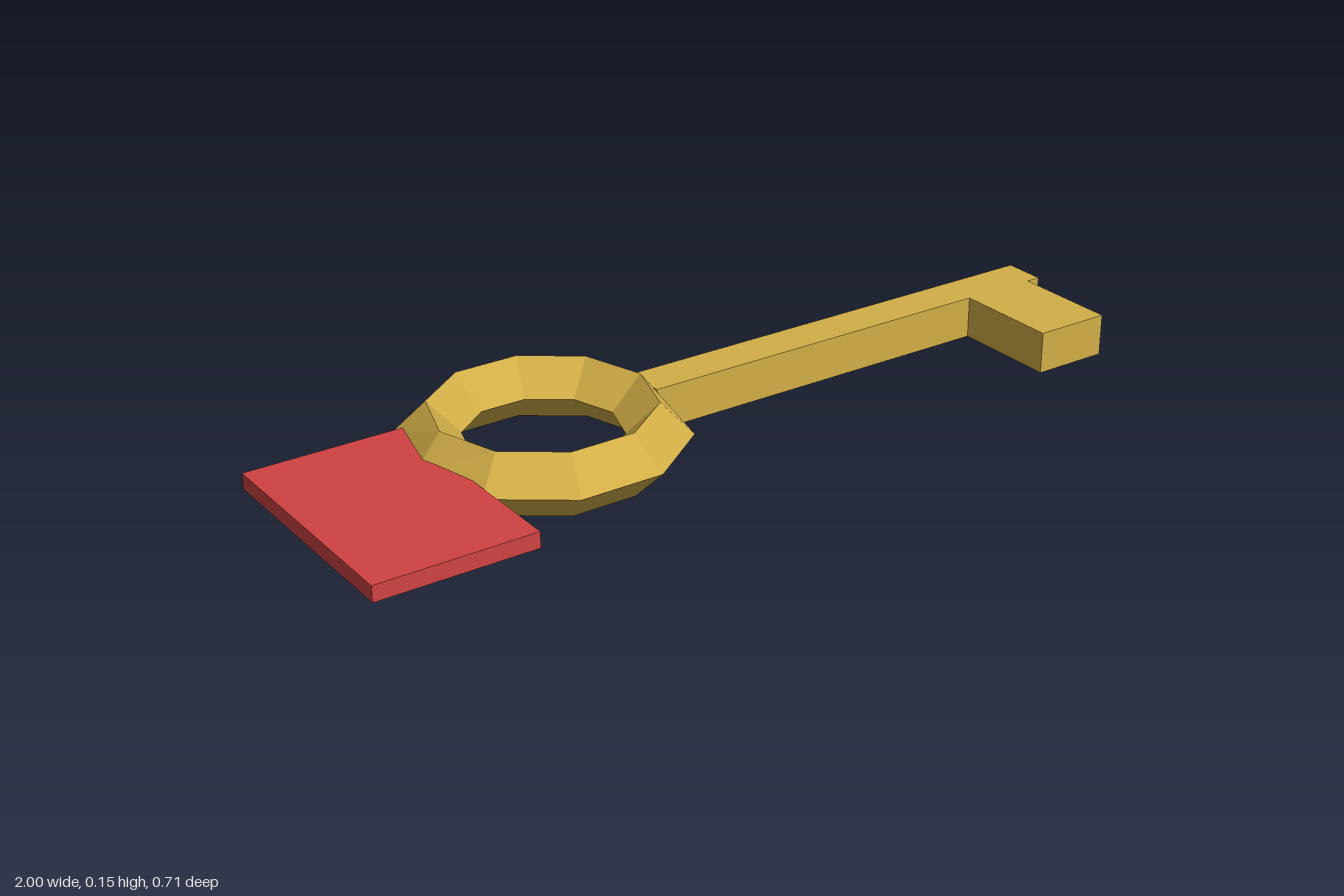
import * as THREE from 'three';

export function createModel() {
  const model = new THREE.Group();
  const gold = new THREE.MeshStandardMaterial({ color: 0xd2ae47, flatShading: true });
  const red = new THREE.MeshStandardMaterial({ color: 0xcf4242, flatShading: true });

  const add = (name, geometry, material) => {
    const mesh = new THREE.Mesh(geometry, material);
    mesh.name = name;
    model.add(mesh);
    return mesh;
  };
  // Box given by its extents along each axis
  const addBox = (name, [x0, x1], [y0, y1], [z0, z1], material) =>
    add(name, new THREE.BoxGeometry(x1 - x0, y1 - y0, z1 - z0), material)
      .position.set((x0 + x1) / 2, (y0 + y1) / 2, (z0 + z1) / 2);

  // Ten-sided bow with a diamond section, its outer tips slightly blunted along x
  const bow = new THREE.TorusGeometry(0.25, 0.074, 4, 10);
  const p = bow.attributes.position;
  for (let i = 0; i < p.count; i++) p.setX(i, THREE.MathUtils.clamp(p.getX(i), -0.308, 0.308));
  bow.rotateX(Math.PI / 2);
  add('bow', bow, gold).position.set(-0.375, 0.075, -0.049);

  // Shaft and its single tooth
  addBox('shaft', [-0.115, 1], [0.027, 0.126], [-0.1, 0], gold);
  addBox('tooth', [0.78, 0.965], [0.027, 0.126], [0, 0.256], gold);

  // Flat tag tucked into the bow
  addBox('tag', [-1, -0.63], [0.058, 0.095], [-0.208, 0.356], red);

  return model;
}
